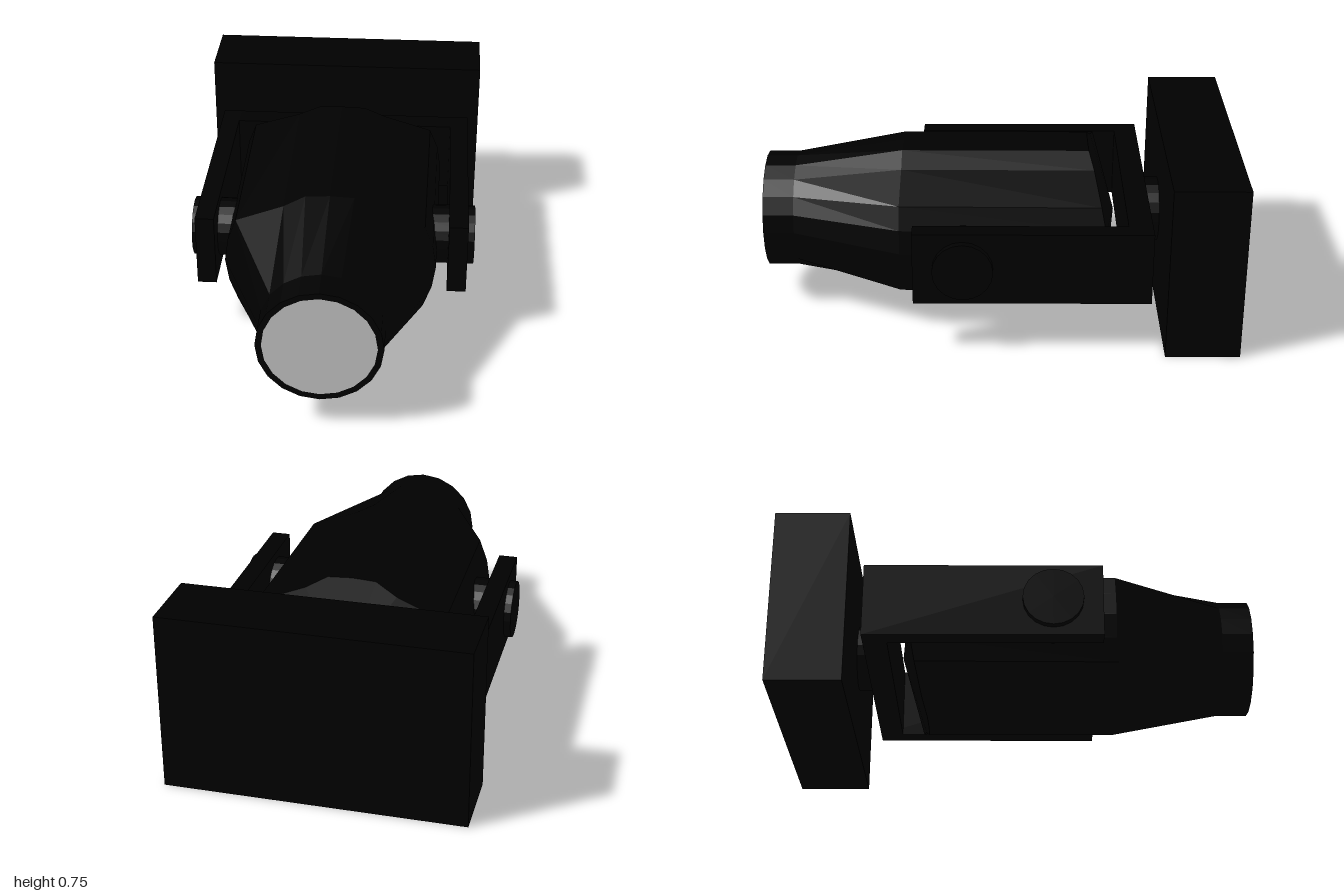
import * as THREE from 'three';

const CY = 0.38; // height of the lamp axis

// Skins equal-length closed rings of [x, y, z], then closes both ends on a centre point.
function loft(rings, startTip, endTip) {
  const n = rings[0].length;
  const pos = [...rings.flat(2), ...startTip, ...endTip];
  const start = rings.length * n, end = start + 1, last = (rings.length - 1) * n;
  const idx = [];
  for (let j = 0; j < n; j++) {
    const k = (j + 1) % n;
    for (let r = 0; r < rings.length - 1; r++) {
      const a = r * n + j, b = r * n + k, c = a + n, d = b + n;
      idx.push(a, c, b, b, c, d);
    }
    idx.push(start, j, k, end, last + k, last + j);
  }
  const geo = new THREE.BufferGeometry();
  geo.setAttribute('position', new THREE.Float32BufferAttribute(pos, 3));
  geo.setIndex(idx);
  const flat = geo.toNonIndexed();
  flat.computeVertexNormals();
  return flat;
}

export function createModel() {
  const group = new THREE.Group();
  const black = new THREE.MeshStandardMaterial({ color: 0x000000, flatShading: true });
  const grey = new THREE.MeshStandardMaterial({ color: 0xcccccc });

  const add = (name, geo, x, y, z, mat = black) => {
    const mesh = new THREE.Mesh(geo, mat);
    mesh.name = name;
    mesh.position.set(x, y, z);
    group.add(mesh);
    return mesh;
  };

  // Lamp housing: round nose widening to a faceted body with a shallow pointed back
  const quarter = [[0.44, 0], [0.425, 0.1], [0.39, 0.195], [0.19, 0.27], [0.1, 0.32], [0, 0.325]];
  const bodySection = [];
  const noseSection = [];
  for (let i = 0; i < 20; i++) {
    const q = i % 10;
    const [px, py] = quarter[q <= 5 ? q : 10 - q];
    const sx = i > 5 && i < 15 ? -1 : 1, sy = i > 10 ? -1 : 1;
    bodySection.push([px * sx, py * sy]);
    const a = (i / 20) * Math.PI * 2;
    noseSection.push([0.25 * Math.cos(a), 0.25 * Math.sin(a)]);
  }
  const housing = loft([
    noseSection.map(([x, y]) => [x, y, 1]),
    noseSection.map(([x, y]) => [x, y, 0.87]),
    bodySection.map(([x, y]) => [x, y, 0.41]),
    bodySection.map(([x, y]) => [x * 1.02, y, -0.45 + 0.07 * (y / 0.325) ** 2]),
  ], [0, 0, 0.995], [0, 0, -0.5]);
  add('housing', housing, 0, CY, 0);

  // Lens disc inside the nose rim
  const lens = new THREE.CircleGeometry(0.23, 20);
  add('lens', lens, 0, CY, 0.9995, grey);

  // Yoke arms and pivot knobs, mirrored
  for (const [side, s] of [['left', 1], ['right', -1]]) {
    add(`${side}YokeArm`, new THREE.BoxGeometry(0.08, 0.315, 0.98), s * 0.53, CY, -0.14);
    const pivot = new THREE.CylinderGeometry(0.125, 0.125, 0.19, 20);
    add(`${side}Pivot`, pivot, s * 0.505, CY, 0.145).rotation.z = Math.PI / 2;
  }
  add('yokeBridge', new THREE.BoxGeometry(0.98, 0.315, 0.1), 0, CY, -0.58);

  // Swivel neck and mounting box
  const neck = new THREE.CylinderGeometry(0.14, 0.14, 0.08, 20);
  add('swivelNeck', neck, 0, CY, -0.66).rotation.x = Math.PI / 2;
  add('mountingBox', new THREE.BoxGeometry(1.24, 0.755, 0.31), 0, 0.3775, -0.845);

  return group;
}
